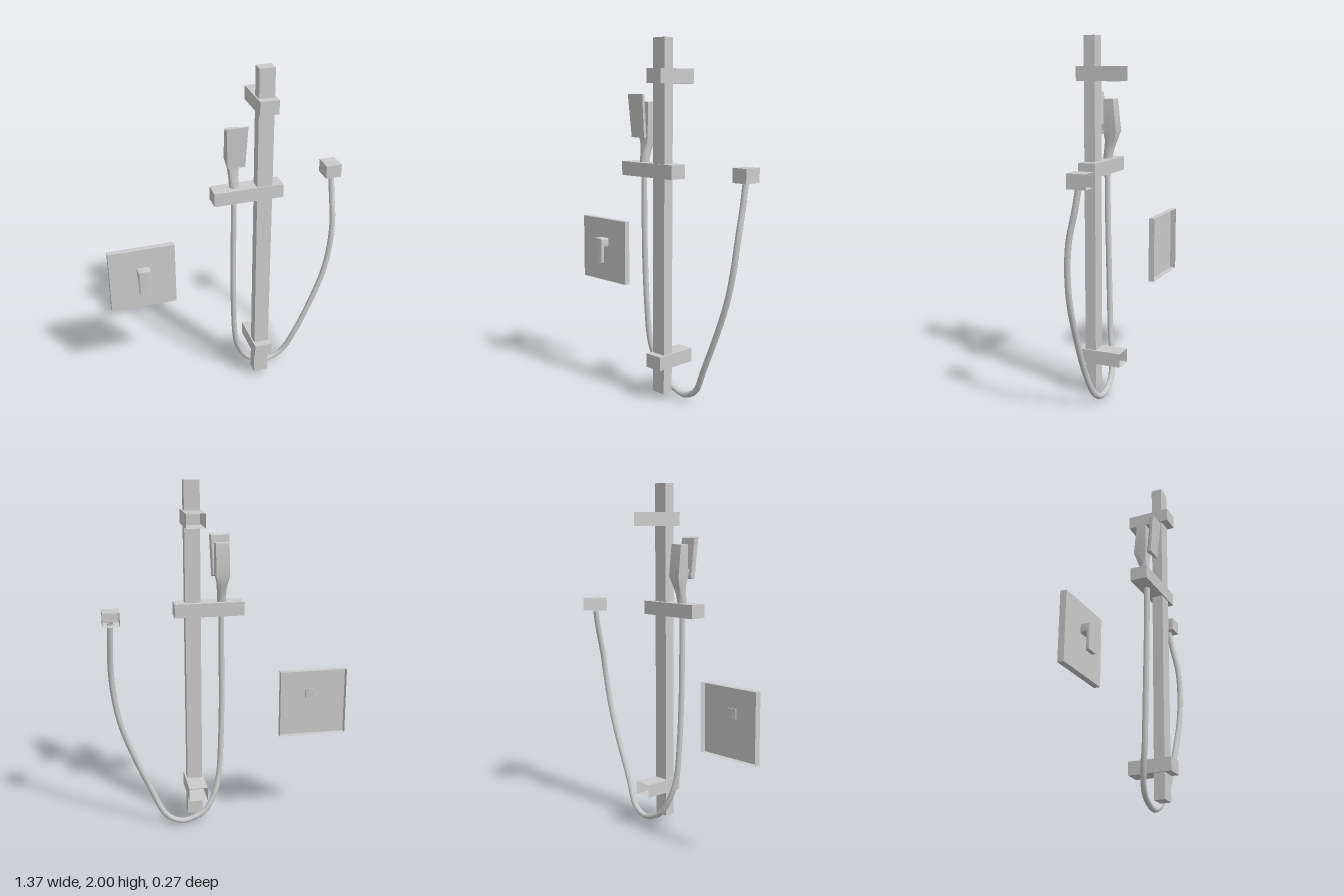
import * as THREE from 'three';
import { toCreasedNormals } from 'three/addons/utils/BufferGeometryUtils.js';

const material = new THREE.MeshStandardMaterial({ color: 0xcccccc, side: THREE.DoubleSide });

export function createModel() {
  const group = new THREE.Group();
  const add = (name, geometry) => {
    const mesh = new THREE.Mesh(geometry, material);
    mesh.name = name;
    group.add(mesh);
    return mesh;
  };

  // Box given by its limits; openBack leaves out the wall-side face
  const box = (name, [x0, x1], [y0, y1], [z0, z1], openBack = false) => {
    const g = new THREE.BoxGeometry(x1 - x0, y1 - y0, z1 - z0);
    if (openBack) g.setIndex(Array.from(g.index.array).slice(0, 30));
    g.translate((x0 + x1) / 2, (y0 + y1) / 2, (z0 + z1) / 2);
    return add(name, g);
  };

  // Rail, its wall brackets and the sliding holder
  box('rail', [0.13, 0.217], [0.04, 2], [0.03, 0.093]);
  box('upperBracket', [0.122, 0.228], [1.76, 1.838], [-0.12, 0.135], true);
  box('lowerBracket', [0.122, 0.228], [0.188, 0.266], [-0.12, 0.135], true);
  box('slidingHolder', [-0.115, 0.28], [1.25, 1.328], [0, 0.1]);

  // Wall outlet and valve plate, hollow towards the wall
  box('wallOutlet', [0.592, 0.684], [1.25, 1.328], [-0.137, -0.03], true);
  box('valvePlate', [-0.69, -0.302], [0.55, 0.938], [-0.12, -0.085], true);

  // Valve lever: L-shaped side profile with softened edges
  const b = 0.008;
  const outline = [[0.09, 0.82], [0.03, 0.82], [0.03, 0.665], [0.053, 0.665], [0.053, 0.765], [0.09, 0.765]];
  const inset = [[-1, -1], [1, -1], [1, 1], [-1, 1], [-1, 1], [-1, 1]];
  const profile = new THREE.Shape(outline.map(([z, y], i) =>
    new THREE.Vector2(z + inset[i][0] * b, y + inset[i][1] * b)));
  const lever = new THREE.ExtrudeGeometry(profile, {
    depth: 0.075 - 2 * b, bevelEnabled: true, bevelSize: b, bevelThickness: b, bevelSegments: 3,
  });
  lever.translate(0, 0, -0.0375 + b);
  lever.rotateY(Math.PI / 2); // profile x becomes -z
  lever.translate(-0.493, 0, 0);
  add('valveLever', toCreasedNormals(lever, 0.6));

  // Handset body: round grip blending into a square head
  // [y, centre z, half width, half depth, squareness]
  const sections = [
    [1.25, 0.047, 0.022, 0.022, 0],
    [1.33, 0.045, 0.026, 0.026, 0],
    [1.38, 0.036, 0.027, 0.028, 0.1],
    [1.43, 0.024, 0.03, 0.032, 0.5],
    [1.48, 0.018, 0.038, 0.038, 1],
    [1.66, 0.027, 0.038, 0.028, 1],
  ];
  const N = 16, pos = [], idx = [];
  for (const [y, cz, hx, hz, k] of sections) {
    for (let i = 0; i < N; i++) {
      const a = (i / N) * Math.PI * 2, c = Math.cos(a), s = Math.sin(a);
      const r = THREE.MathUtils.lerp(1, 1 / Math.max(Math.abs(c), Math.abs(s)), k);
      pos.push(0.01 + hx * r * c, y, cz + hz * r * s);
    }
  }
  for (let j = 0; j < sections.length - 1; j++) {
    for (let i = 0; i < N; i++) {
      const p = j * N + i, q = j * N + (i + 1) % N;
      idx.push(p, p + N, q, q, p + N, q + N);
    }
  }
  const top = (sections.length - 1) * N;
  for (let i = 1; i < N - 1; i++) {
    idx.push(0, i, i + 1, top, top + i + 1, top + i);
  }
  const body = new THREE.BufferGeometry();
  body.setAttribute('position', new THREE.Float32BufferAttribute(pos, 3));
  body.setIndex(idx);
  add('handsetBody', toCreasedNormals(body, 0.7));

  // Spray plate: tapered, tilted slab with a chamfered back
  const plate = new THREE.BoxGeometry(1, 1, 1, 1, 1, 2);
  const p = plate.attributes.position;
  for (let i = 0; i < p.count; i++) {
    const t = p.getY(i) + 0.5, back = p.getZ(i) < -0.1;
    const shrink = back ? 0.86 : 1;
    const halfWidth = THREE.MathUtils.lerp(0.05, 0.058, t) * shrink;
    const y = 1.583 + (t - 0.5) * 0.236 * (back ? 0.94 : 1);
    const front = THREE.MathUtils.lerp(0.094, 0.115, t);
    p.setXYZ(i, 0.009 + p.getX(i) * 2 * halfWidth, y, front - (0.5 - p.getZ(i)) * 0.024);
  }
  add('sprayPlate', toCreasedNormals(plate, 0.3));
  box('sprayNeck', [-0.015, 0.035], [1.485, 1.52], [0.04, 0.085]);

  // Hose hanging in a loop from the grip to the wall outlet
  const path = new THREE.CatmullRomCurve3([
    [0.01, 1.26, 0.047], [0.01, 1.0, 0.045], [0.01, 0.76, 0.04], [0.016, 0.52, 0.032],
    [0.03, 0.3, 0.02], [0.055, 0.19, 0.0], [0.12, 0.075, -0.02], [0.19, 0.037, -0.025],
    [0.26, 0.021, -0.025], [0.35, 0.065, -0.022], [0.43, 0.215, -0.004], [0.54, 0.47, 0.0],
    [0.6, 0.645, 0.0], [0.632, 0.81, -0.006], [0.646, 0.98, -0.022], [0.645, 1.13, -0.055],
    [0.642, 1.26, -0.078],
  ].map((v) => new THREE.Vector3(...v)));
  add('hose', new THREE.TubeGeometry(path, 64, 0.0165, 10));

  return group;
}
